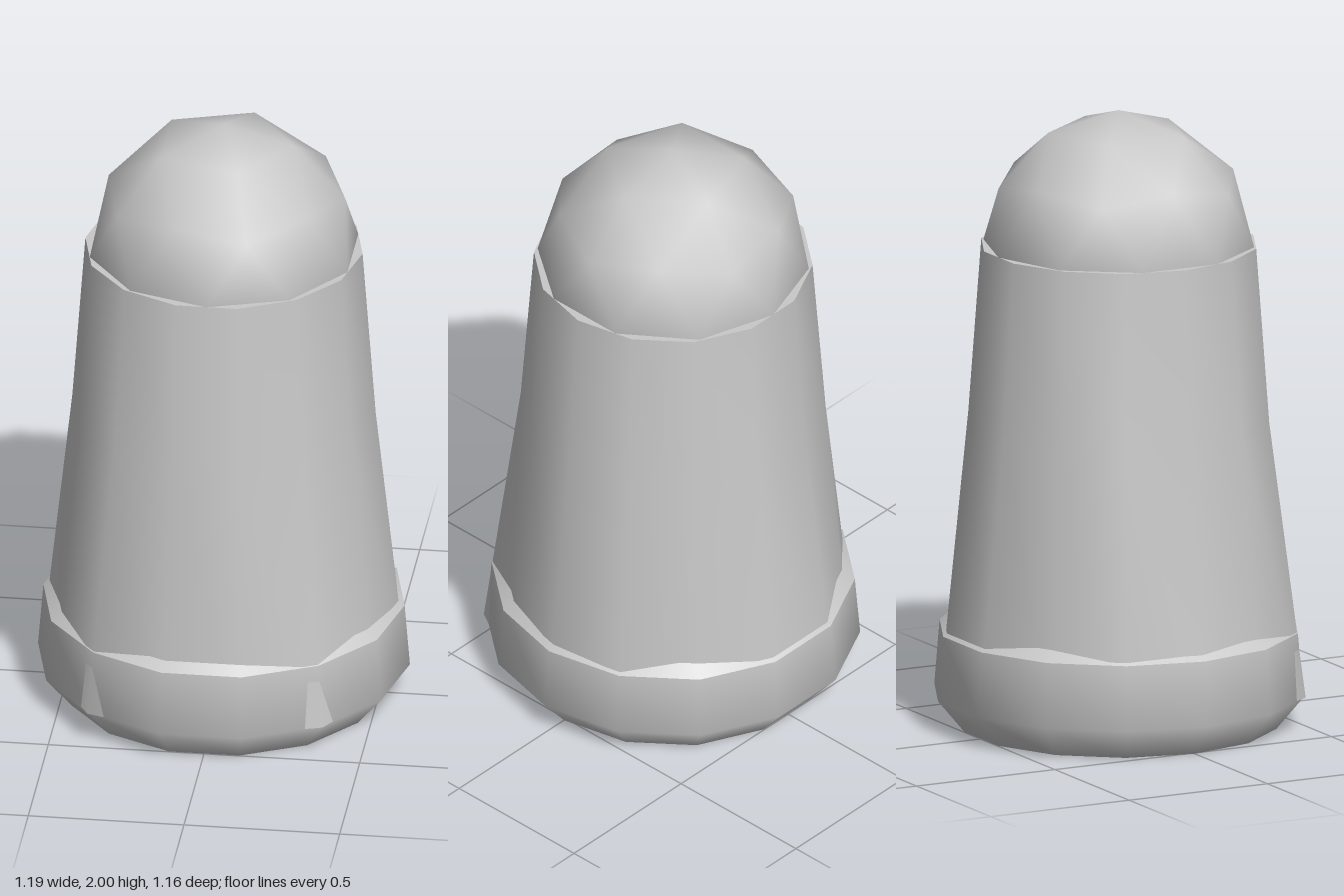
import * as THREE from 'three';
import { mergeVertices } from 'three/addons/utils/BufferGeometryUtils.js';

const SIDES = 14;

// Lathe profile (radius, height pairs) with a corner on +x
function lathe(profile) {
  const points = profile.map(([r, y]) => new THREE.Vector2(r, y));
  return new THREE.LatheGeometry(points, SIDES, Math.PI / 2);
}

function disc(radius, y, facing) {
  const g = new THREE.CircleGeometry(radius, SIDES);
  g.rotateX(-facing * Math.PI / 2);
  return g.translate(0, y, 0);
}

// Tapered body whose hidden foot ring is slightly uneven
function bodyGeometry() {
  const front = [0.585, 0.566, 0.605, 0.568];
  const back = [0.585, 0.597, 0.558, 0.594];
  const g = lathe([[0.585, 0.105], [0.487, 1.0], [0.445, 1.565]]);
  const p = g.attributes.position;
  for (let i = 0; i < p.count; i++) {
    if (p.getY(i) > 0.2) continue;
    const angle = Math.atan2(p.getZ(i), p.getX(i));
    const k = Math.round(angle / (2 * Math.PI / SIDES));
    const fold = Math.min(Math.abs(k), 7 - Math.abs(k));
    const r = (k >= 0 ? front : back)[fold];
    p.setXYZ(i, r * Math.cos(angle), p.getY(i), r * Math.sin(angle));
  }
  g.deleteAttribute('normal');
  g.deleteAttribute('uv');
  const merged = mergeVertices(g, 1e-4);
  merged.computeVertexNormals();
  return merged;
}

// Upper half of a geodesic sphere with one corner straight up
function domeGeometry(radius) {
  const g = new THREE.IcosahedronGeometry(radius, 1);
  g.rotateZ(-Math.atan2(1, (1 + Math.sqrt(5)) / 2));
  const p = g.attributes.position, n = g.attributes.normal;
  const pos = [], nor = [];
  for (let i = 0; i < p.count; i += 3) {
    if (p.getY(i) + p.getY(i + 1) + p.getY(i + 2) < 0.01) continue;
    for (let j = i; j < i + 3; j++) {
      pos.push(p.getX(j), p.getY(j), p.getZ(j));
      nor.push(n.getX(j), n.getY(j), n.getZ(j));
    }
  }
  const half = new THREE.BufferGeometry();
  half.setAttribute('position', new THREE.Float32BufferAttribute(pos, 3));
  half.setAttribute('normal', new THREE.Float32BufferAttribute(nor, 3));
  return half;
}

export function createModel() {
  const group = new THREE.Group();
  const grey = new THREE.MeshStandardMaterial({ color: 0xc8c8c8 });
  grey.name = 'light grey';
  const add = (name, geometry) => {
    const mesh = new THREE.Mesh(geometry, grey);
    mesh.name = name;
    group.add(mesh);
    return mesh;
  };

  // Base collar
  add('baseBottom', disc(0.51, 0, -1));
  add('baseSkirt', lathe([[0.51, 0], [0.597, 0.105], [0.58, 0.315]]));
  add('baseShoulder', lathe([[0.58, 0.315], [0.5, 0.38]]));

  // Body and its flat top
  add('body', bodyGeometry());
  add('bodyTop', disc(0.445, 1.565, 1));

  // Rounded cap
  add('dome', domeGeometry(0.435)).position.y = 1.565;

  return group;
}
